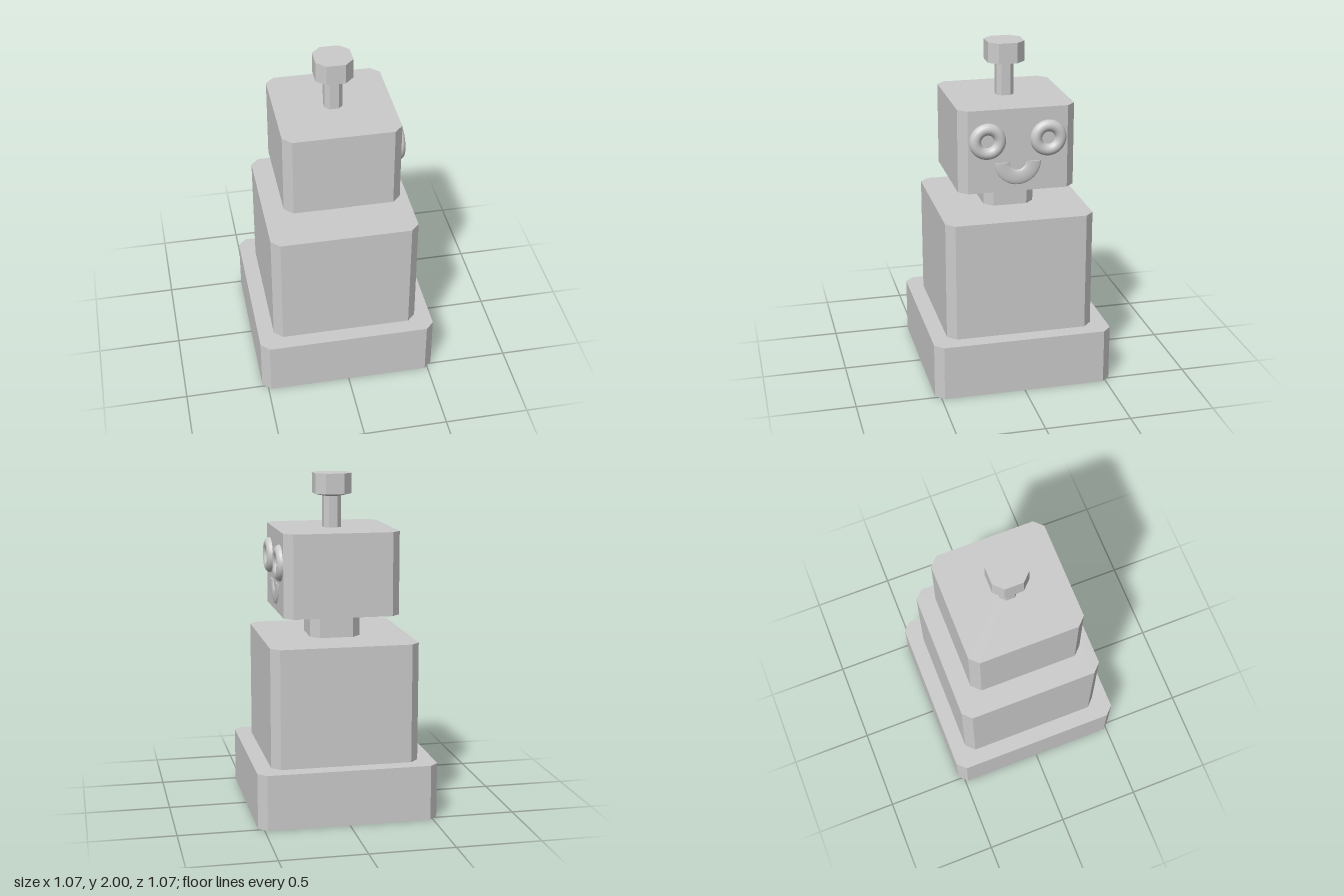
import * as THREE from 'three';

const material = new THREE.MeshStandardMaterial({ color: 0xcccccc });
const flat = new THREE.MeshStandardMaterial({ color: 0xcccccc, flatShading: true });

// Square ring with cut corners: half width h, corner cut c, counter-clockwise seen from above
function ring([y, h, c]) {
  const k = h - c;
  return [[h, k], [h, -k], [k, -h], [-k, -h], [-h, -k], [-h, k], [-k, h], [k, h]]
    .map(([x, z]) => [x, y, z]);
}

// Closed solid through a stack of rings, listed from bottom to top
function loft(levels) {
  const rings = levels.map(ring);
  const pos = [];
  const tri = (a, b, c) => pos.push(...a, ...b, ...c);
  for (let l = 0; l < rings.length - 1; l++) {
    const a = rings[l], b = rings[l + 1];
    for (let i = 0; i < 8; i++) {
      const j = (i + 1) % 8;
      tri(a[i], a[j], b[j]);
      tri(a[i], b[j], b[i]);
    }
  }
  const bottom = rings[0], top = rings[rings.length - 1];
  for (let i = 1; i < 7; i++) {
    tri(top[0], top[i], top[i + 1]);
    tri(bottom[0], bottom[i + 1], bottom[i]);
  }
  const g = new THREE.BufferGeometry();
  g.setAttribute('position', new THREE.Float32BufferAttribute(pos, 3));
  g.computeVertexNormals();
  return g;
}

export function createModel() {
  const model = new THREE.Group();
  const add = (name, geometry, mat = material, parent = model) => {
    const mesh = new THREE.Mesh(geometry, mat);
    mesh.name = name;
    parent.add(mesh);
    return mesh;
  };

  // Stacked body; head and knob have slightly sloping undersides
  const blocks = {
    base: [[0, 0.533, 0.05], [0.33, 0.533, 0.05]],
    torso: [[0.33, 0.438, 0.05], [1.037, 0.438, 0.05]],
    neck: [[1.037, 0.15, 0.05], [1.18, 0.15, 0.05]],
    head: [[1.176, 0.15, 0.05], [1.19, 0.342, 0.05], [1.68, 0.342, 0.05]],
    antennaStem: [[1.68, 0.052, 0.026], [1.87, 0.052, 0.026]],
    antennaKnob: [[1.866, 0.052, 0.026], [1.88, 0.108, 0.053], [2, 0.108, 0.053]],
  };
  for (const [name, levels] of Object.entries(blocks)) add(name, loft(levels), flat);

  // Ring eyes on the +x side of the head
  for (const side of [-1, 1]) {
    const eye = add(side > 0 ? 'eyeFront' : 'eyeBack', new THREE.TorusGeometry(0.072, 0.035, 20, 40));
    eye.rotation.y = Math.PI / 2;
    eye.position.set(0.34, 1.497, side * 0.178);
  }

  // Smile: a flattened half ring with closed ends
  const smile = new THREE.Group();
  smile.name = 'smile';
  const R = 0.092, r = 0.045;
  add('smileArc', new THREE.TorusGeometry(R, r, 20, 32, Math.PI).rotateZ(Math.PI), material, smile);
  for (const side of [-1, 1]) {
    const cap = add('smileEnd', new THREE.CircleGeometry(r, 20).rotateX(-Math.PI / 2), material, smile);
    cap.position.x = side * R;
  }
  smile.scale.z = 0.27;
  smile.rotation.y = Math.PI / 2;
  smile.position.set(0.341, 1.365, 0);
  model.add(smile);

  return model;
}
